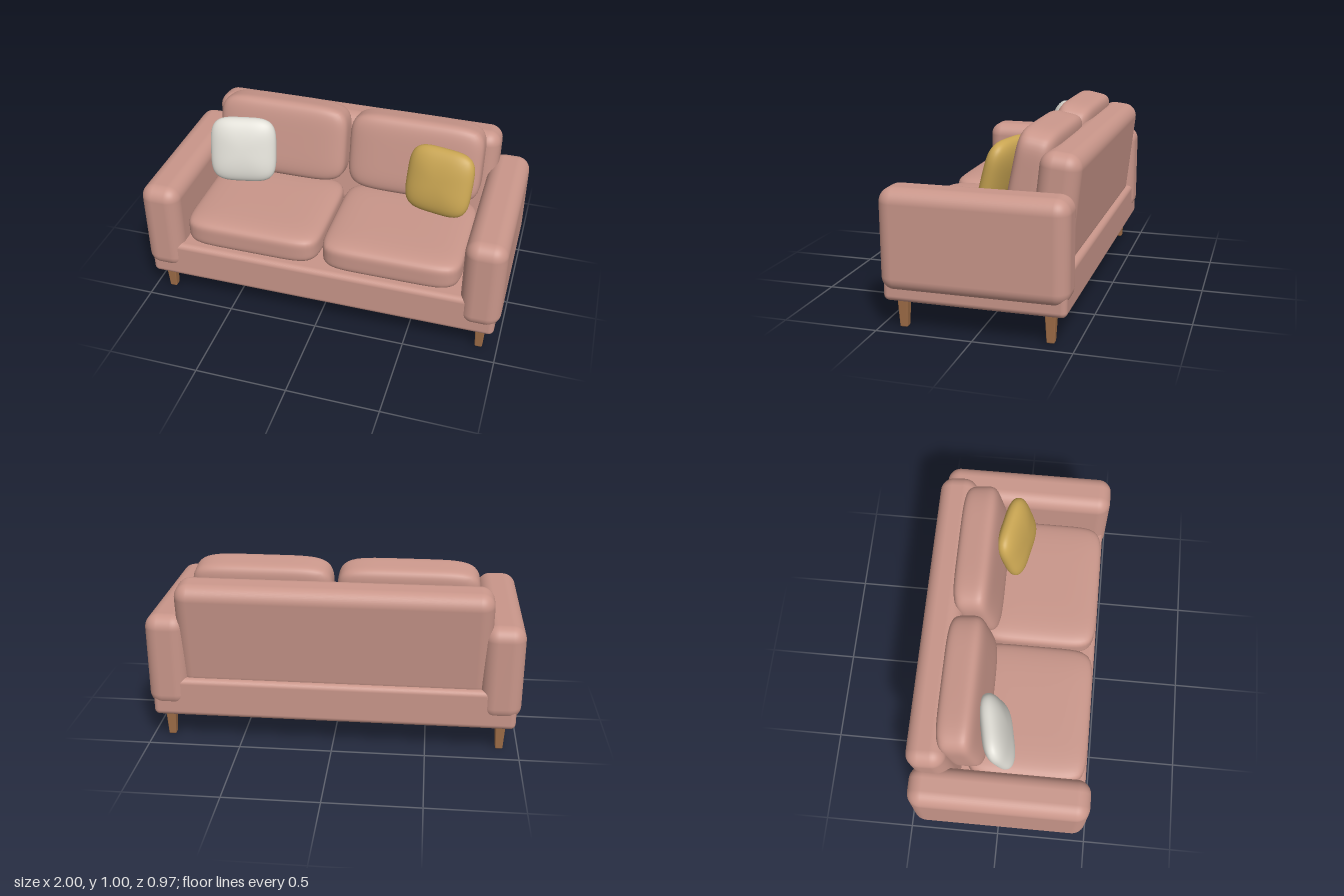
import * as THREE from 'three';
import { mergeVertices } from 'three/addons/utils/BufferGeometryUtils.js';
import { RoundedBoxGeometry } from 'three/addons/geometries/RoundedBoxGeometry.js';

function material(name, color) {
  const m = new THREE.MeshStandardMaterial({ color });
  m.name = name;
  return m;
}

// Puffed cushion: exponent a rounds the outline (x, y), b rounds the thickness (z)
function puffGeometry(w, h, d, a, b) {
  const box = new THREE.BoxGeometry(2, 2, 2, 20, 20, 20);
  box.deleteAttribute('uv');
  box.deleteAttribute('normal');
  const geo = mergeVertices(box);
  const pos = geo.attributes.position;
  const v = new THREE.Vector3();
  for (let i = 0; i < pos.count; i++) {
    v.fromBufferAttribute(pos, i);
    const outline = Math.pow(Math.abs(v.x) ** a + Math.abs(v.y) ** a, b / a);
    v.divideScalar(Math.pow(outline + Math.abs(v.z) ** b, 1 / b));
    pos.setXYZ(i, v.x * w / 2, v.y * h / 2, v.z * d / 2);
  }
  geo.computeVertexNormals();
  return geo;
}

// Square leg with softened edges, narrowing to the floor
function legGeometry(height) {
  const geo = new RoundedBoxGeometry(0.058, height, 0.058, 1, 0.007);
  const pos = geo.attributes.position;
  for (let i = 0; i < pos.count; i++) {
    const s = 0.68 + 0.32 * (pos.getY(i) / height + 0.5);
    pos.setX(i, pos.getX(i) * s);
    pos.setZ(i, pos.getZ(i) * s);
  }
  return geo;
}

export function createModel() {
  const group = new THREE.Group();
  group.name = 'sofa';
  const fabric = material('pink fabric', 0xc9968a);
  const gold = material('gold fabric', 0xc9a552);
  const cream = material('cream fabric', 0xdedcd4);
  const wood = material('leg wood', 0x9c6b46);

  function add(name, geo, mat, x, y, z, rx = 0, ry = 0) {
    const mesh = new THREE.Mesh(geo, mat);
    mesh.name = name;
    mesh.position.set(x, y, z);
    mesh.rotation.set(rx, ry, 0, 'YXZ');
    group.add(mesh);
  }

  // Frame
  add('base', new RoundedBoxGeometry(1.95, 0.22, 0.93, 5, 0.03), fabric, 0, 0.26, 0.005);
  add('backrest', new RoundedBoxGeometry(1.66, 0.59, 0.21, 6, 0.075), fabric, 0, 0.612, -0.352, -0.11);

  const armGeo = new RoundedBoxGeometry(0.22, 0.525, 0.955, 6, 0.075);
  const seatGeo = puffGeometry(0.762, 0.66, 0.18, 7, 5);
  const backGeo = puffGeometry(0.75, 0.45, 0.208, 5.5, 5);
  const pillowGeo = puffGeometry(0.375, 0.375, 0.135, 4, 2.3);
  const legGeo = legGeometry(0.17);

  // Mirrored parts
  for (const side of [1, -1]) {
    const label = side > 0 ? 'left' : 'right';
    add(label + 'Arm', armGeo, fabric, side * 0.89, 0.4625, 0.0075);
    add(label + 'SeatCushion', seatGeo, fabric, side * 0.387, 0.46, 0.13, -Math.PI / 2);
    add(label + 'BackCushion', backGeo, fabric, side * 0.385, 0.768, -0.205, -0.2);
    add(label + 'Pillow', pillowGeo, side > 0 ? gold : cream,
      side * (side > 0 ? 0.552 : 0.582), 0.738, -0.03, -0.27, -side * 0.2);
    add(label + 'FrontLeg', legGeo, wood, side * 0.9, 0.085, 0.385);
    add(label + 'BackLeg', legGeo, wood, side * 0.9, 0.085, -0.37);
  }
  return group;
}
